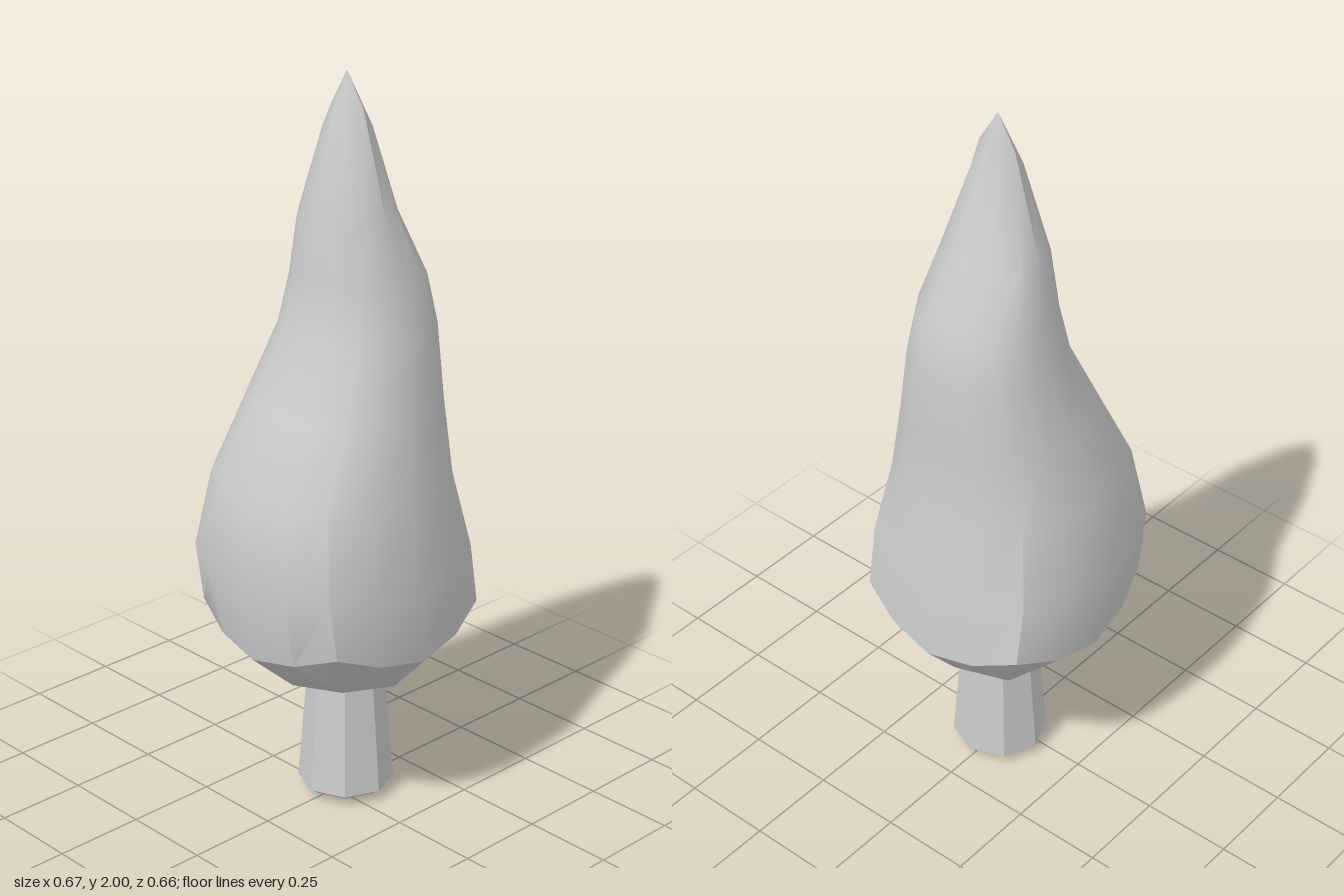
import * as THREE from 'three';
import { toCreasedNormals } from 'three/addons/utils/BufferGeometryUtils.js';

const grey = () => new THREE.MeshStandardMaterial({ color: 0xcccccc });

// One quarter of a rounded-square section: side middle, quarter, corner, quarter.
// A closed section is a loop of 16 points; "collapsed" sections pull the quarters into the corner.
function ring({ y, left, right, depth, corner, lift, collapsed = false }) {
  const points = [];
  const cx = (left + right) / 2, rx = (right - left) / 2;
  for (let side = 0; side < 4; side++) {
    const quarter = [
      [1, 0, 0],
      collapsed ? [corner, corner, lift] : [0.945, 0.44, lift * 0.35],
      [corner, corner, lift],
      collapsed ? [corner, corner, lift] : [0.44, 0.945, lift * 0.35],
    ];
    for (const [a, b, dy] of quarter) {
      const [u, v] = [[a, b], [-b, a], [-a, -b], [b, -a]][side];
      points.push(new THREE.Vector3(cx + u * rx, y + dy, v * depth));
    }
  }
  return points;
}

// Skins successive rings, skipping triangles that have no area
function skin(rings) {
  const positions = [];
  const tri = (a, b, c) => {
    if (a.distanceTo(b) < 1e-5 || b.distanceTo(c) < 1e-5 || c.distanceTo(a) < 1e-5) return;
    for (const p of [a, b, c]) positions.push(p.x, p.y, p.z);
  };
  for (let r = 0; r < rings.length - 1; r++) {
    for (let i = 0; i < 16; i++) {
      const j = (i + 1) % 16;
      const a = rings[r][i], b = rings[r][j], c = rings[r + 1][j], d = rings[r + 1][i];
      tri(a, d, b);
      tri(b, d, c);
    }
  }
  const geometry = new THREE.BufferGeometry();
  geometry.setAttribute('position', new THREE.Float32BufferAttribute(positions, 3));
  return geometry;
}

function createFoliage() {
  const point = (x, y) => Array(16).fill(new THREE.Vector3(x, y, 0));
  const rings = [
    point(0.03, 0.36),
    ring({ y: 0.375, left: -0.155, right: 0.225, depth: 0.19, corner: 0.86, lift: 0.03, collapsed: true }),
    // y, left, right, depth, corner fullness, corner lift
    ...[
      [0.5, -0.295, 0.332, 0.312, 0.82, 0.07],
      [0.71, -0.336, 0.32, 0.328, 0.78, 0.03],
      [0.94, -0.305, 0.28, 0.29, 0.76, 0.01],
      [1.15, -0.205, 0.27, 0.245, 0.75, 0],
      [1.34, -0.11, 0.27, 0.2, 0.74, 0],
      [1.48, -0.083, 0.245, 0.172, 0.74, -0.01],
      [1.65, -0.072, 0.165, 0.132, 0.74, -0.03],
    ].map(([y, left, right, depth, corner, lift]) => ring({ y, left, right, depth, corner, lift })),
    ring({ y: 1.91, left: -0.005, right: 0.09, depth: 0.056, corner: 0.85, lift: -0.05, collapsed: true }),
    point(0.04, 2),
  ];
  const mesh = new THREE.Mesh(toCreasedNormals(skin(rings), 0.58), grey());
  mesh.name = 'foliage';
  return mesh;
}

function createTrunk() {
  // Eight-sided tapered post with a chamfered foot
  const profile = [[0, 0], [0.1, 0.01], [0.13, 0.03], [0.103, 0.37], [0.097, 0.45], [0, 0.45]];
  const geometry = new THREE.LatheGeometry(profile.map(([r, y]) => new THREE.Vector2(r, y)), 8);
  const material = grey();
  material.flatShading = true;
  const mesh = new THREE.Mesh(geometry, material);
  mesh.position.x = 0.04;
  mesh.name = 'trunk';
  return mesh;
}

export function createModel() {
  const tree = new THREE.Group();
  tree.name = 'tree';
  tree.add(createFoliage(), createTrunk());
  return tree;
}
